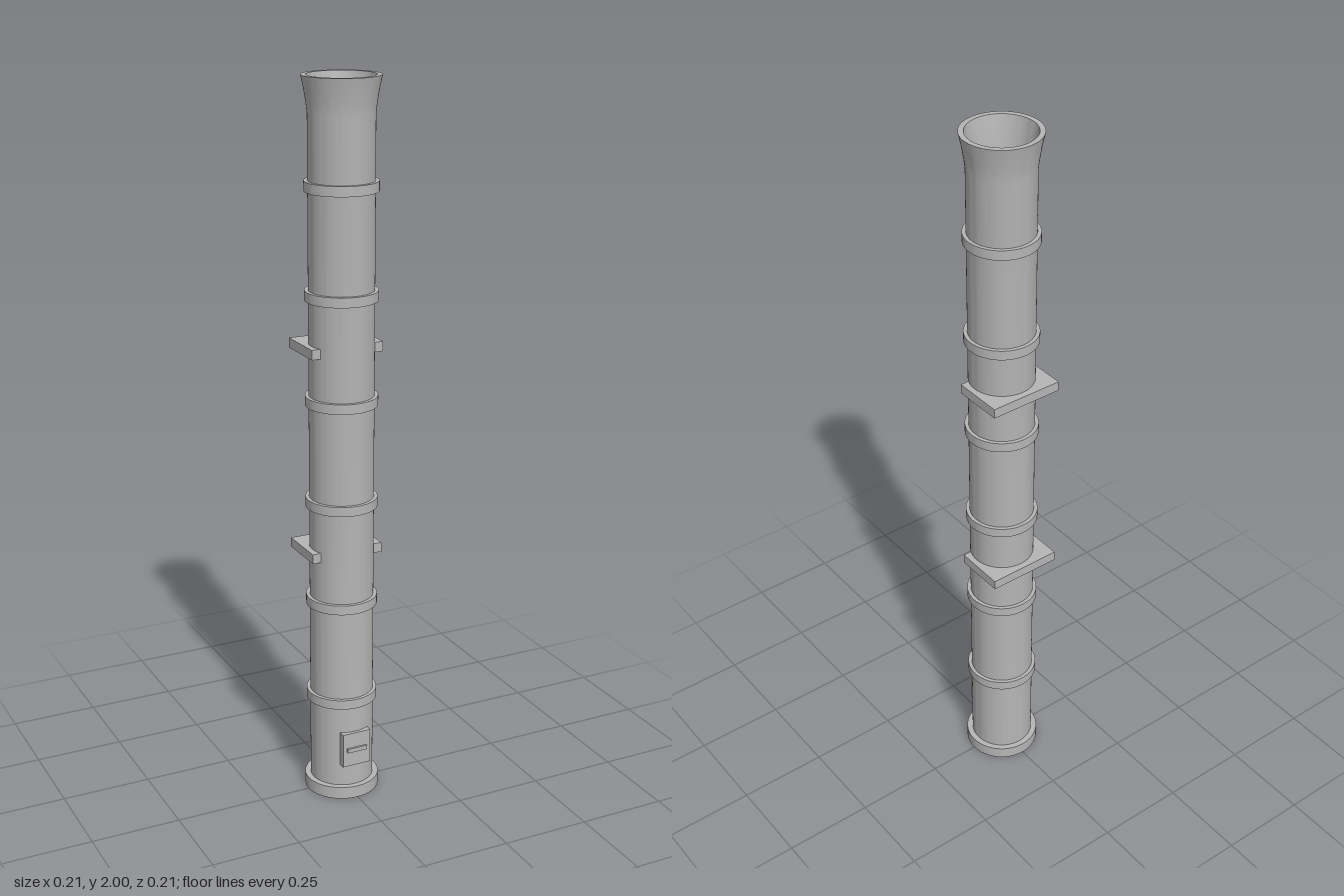
import * as THREE from 'three';
import { toCreasedNormals } from 'three/addons/utils/BufferGeometryUtils.js';

const R = 0.088;      // pipe outer radius
const BORE = 0.076;   // pipe inner radius
const SEGMENTS = 64;

export function createModel() {
  const group = new THREE.Group();
  const steel = new THREE.MeshStandardMaterial({ color: 0xb6b6b6 });
  steel.name = 'steel grey';

  const add = (name, geometry, x = 0, y = 0, z = 0) => {
    const mesh = new THREE.Mesh(geometry, steel);
    mesh.name = name;
    mesh.position.set(x, y, z);
    group.add(mesh);
    return mesh;
  };
  const lathe = (points) => toCreasedNormals(
    new THREE.LatheGeometry(points.map(([r, y]) => new THREE.Vector2(r, y)), SEGMENTS), 0.5);

  // Hollow pipe with a flared mouth
  add('pipe', lathe([
    [R, 0.02], [R, 1.905], [0.091, 1.93], [0.0965, 1.965], [0.104, 2],
    [0.09, 2], [0.084, 1.965], [0.079, 1.93], [BORE, 1.905], [BORE, 0.03], [0, 0.03],
  ]));

  // Base flange
  add('baseFlange', new THREE.CylinderGeometry(0.104, 0.104, 0.035, SEGMENTS), 0, 0.0175, 0);

  // Joint bands, evenly spaced up the pipe
  const h = 0.0135;
  const band = lathe([[R - 0.004, -h], [0.098, -h], [0.098, h], [R - 0.004, h]]);
  for (let i = 1; i <= 6; i++) add('jointBand' + i, band, 0, 0.004 + i * 0.286, 0);

  // Wall brackets: square plates cut out around the pipe, open at the front
  const fit = R - 0.002, front = 0.037, side = 0.104, back = -0.106;
  const angle = Math.asin(front / fit);
  const outline = new THREE.Shape();
  outline.moveTo(-side, front);
  outline.lineTo(-side, back);
  outline.lineTo(side, back);
  outline.lineTo(side, front);
  outline.lineTo(fit * Math.cos(angle), front);
  outline.absarc(0, 0, fit, angle, -Math.PI - angle, true);
  outline.closePath();
  const bracket = new THREE.ExtrudeGeometry(outline, { depth: 0.027, bevelEnabled: false, curveSegments: 40 });
  bracket.rotateX(Math.PI / 2);
  [0.732, 1.304].forEach((y, i) => add('wallBracket' + (i + 1), bracket, 0, y, 0));

  // Cleaning door with its handle
  add('cleaningDoor', new THREE.BoxGeometry(0.084, 0.1, 0.0205), 0, 0.15, 0.08675);
  add('doorHandle', new THREE.BoxGeometry(0.06, 0.012, 0.008), 0, 0.15, 0.099);

  return group;
}
